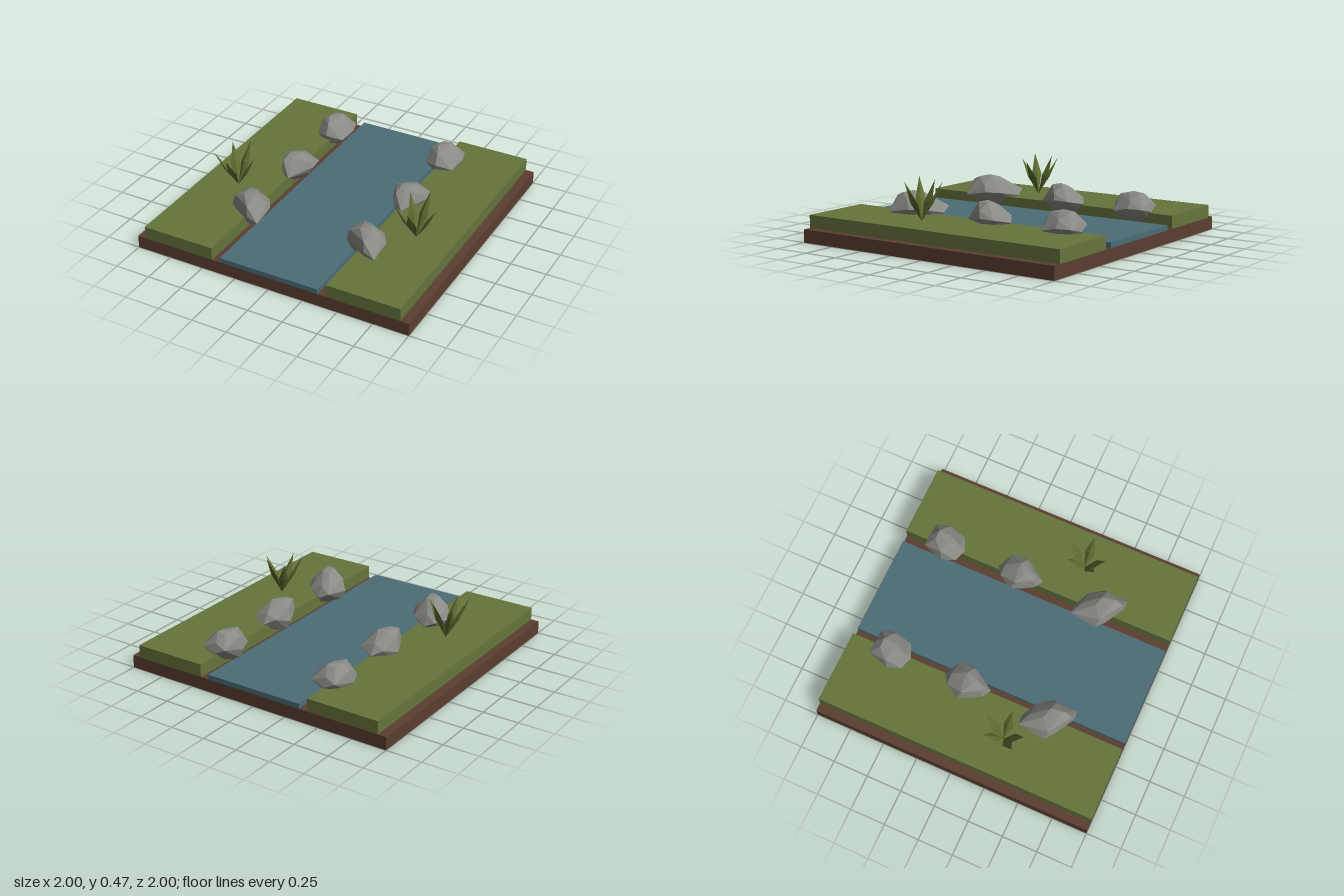
import * as THREE from 'three';
import { ConvexGeometry } from 'three/addons/geometries/ConvexGeometry.js';

const material = (name, color, flatShading = false) => {
  const m = new THREE.MeshStandardMaterial({ color, flatShading });
  m.name = name;
  return m;
};

export function createModel() {
  const soil = material('soil brown', 0x5b3e31);
  const grass = material('grass green', 0x65743c);
  const river = material('river blue', 0x4b6c77);
  const stone = material('stone grey', 0x8a8a86, true);
  const leafGreen = material('leaf green', 0x5c6c30, true);

  const model = new THREE.Group();
  model.name = 'riverTile';

  const add = (name, geometry, mat, x = 0, y = 0, z = 0, parent = model) => {
    const mesh = new THREE.Mesh(geometry, mat);
    mesh.name = name;
    mesh.position.set(x, y, z);
    parent.add(mesh);
    return mesh;
  };

  // Ground slab, water strip and raised banks
  add('soilBase', new THREE.BoxGeometry(2, 0.09, 2), soil, 0, 0.045, 0);
  add('water', new THREE.BoxGeometry(0.72, 0.035, 2), river, 0, 0.1075, 0);
  for (const side of [-1, 1]) {
    add(side < 0 ? 'rightBank' : 'leftBank', new THREE.BoxGeometry(0.52, 0.09, 2),
      grass, side * 0.68, 0.135, 0);
  }

  // Boulders: plan outline [x, z] stacked in shrinking, slightly uneven rings
  const rocks = [
    { x: -0.43, z: -0.69, top: 0.31, lean: [-0.01, -0.02], outline: [
      [-0.08, -0.135], [0, -0.145], [0.1, -0.13], [0.128, -0.03],
      [0.1, 0.09], [-0.005, 0.14], [-0.09, 0.105], [-0.123, 0.01]] },
    { x: -0.43, z: -0.13, top: 0.312, lean: [0, 0.03], outline: [
      [-0.07, -0.12], [0, -0.165], [0.112, -0.107], [0.123, 0],
      [0.02, 0.165], [-0.05, 0.135], [-0.1, 0.04], [-0.123, -0.02]] },
    { x: -0.435, z: 0.465, top: 0.322, lean: [0.01, 0.04], outline: [
      [-0.12, -0.16], [-0.05, -0.17], [0.07, -0.105], [0.13, -0.01],
      [0.13, 0.16], [0.055, 0.163], [-0.085, 0.08], [-0.14, 0.03]] },
  ];
  const rings = [[0.1, 0.3], [0.145, 0.78], [0.205, 1], [0.272, 0.8], [1, 0.36]];

  const rockGeometry = ({ top, lean, outline }) => {
    const points = [];
    rings.forEach(([height, scale], level) => {
      const y = level === 4 ? top : height;
      const shift = level > 2 ? (level - 2) / 2 : 0;
      outline.forEach(([px, pz], i) => {
        // Skip alternate corners away from the waist for large facets
        if (level !== 2 && (i + level) % 2) return;
        const bump = level === 0 || level === 4
          ? -0.008 * (i % 4 === 0 ? 1 : 0)
          : 0.02 * Math.sin(i * 2.3 + level);
        points.push(new THREE.Vector3(px * scale + lean[0] * shift,
          y + (level === 0 ? -bump : bump), pz * scale + lean[1] * shift));
      });
    });
    return new ConvexGeometry(points);
  };
  rocks.forEach((rock, i) => {
    const geometry = rockGeometry(rock);
    add(`rightRock${i + 1}`, geometry, stone, rock.x, 0, rock.z);
    add(`leftRock${i + 1}`, geometry, stone, rock.x + 0.87, 0, rock.z);
  });

  // Plant leaves: thin diamond-section blades from a shared root to each tip
  const tips = [[0.14, 0.245, 0.01], [0, 0.25, 0.145], [-0.115, 0.275, 0.11],
    [-0.1, 0.26, -0.1], [0.03, 0.29, -0.135]];
  const leafGeometry = ([x, y, z]) => {
    const tip = new THREE.Vector3(x, y, z);
    const side = new THREE.Vector3(z, 0, -x).normalize();
    const ridge = new THREE.Vector3().crossVectors(tip, side).normalize();
    const middle = tip.clone().multiplyScalar(0.5);
    const offset = (axis, d) => middle.clone().addScaledVector(axis, d);
    return new ConvexGeometry([new THREE.Vector3(), tip,
      offset(side, 0.034), offset(side, -0.034), offset(ridge, 0.013), offset(ridge, -0.013)]);
  };
  for (const side of [-1, 1]) {
    const plant = new THREE.Group();
    plant.name = side < 0 ? 'rightPlant' : 'leftPlant';
    plant.position.set(side * 0.68, 0.178, 0.25);
    tips.forEach((tip, i) => add(`leaf${i + 1}`, leafGeometry(tip), leafGreen, 0, 0, 0, plant));
    model.add(plant);
  }
  return model;
}
